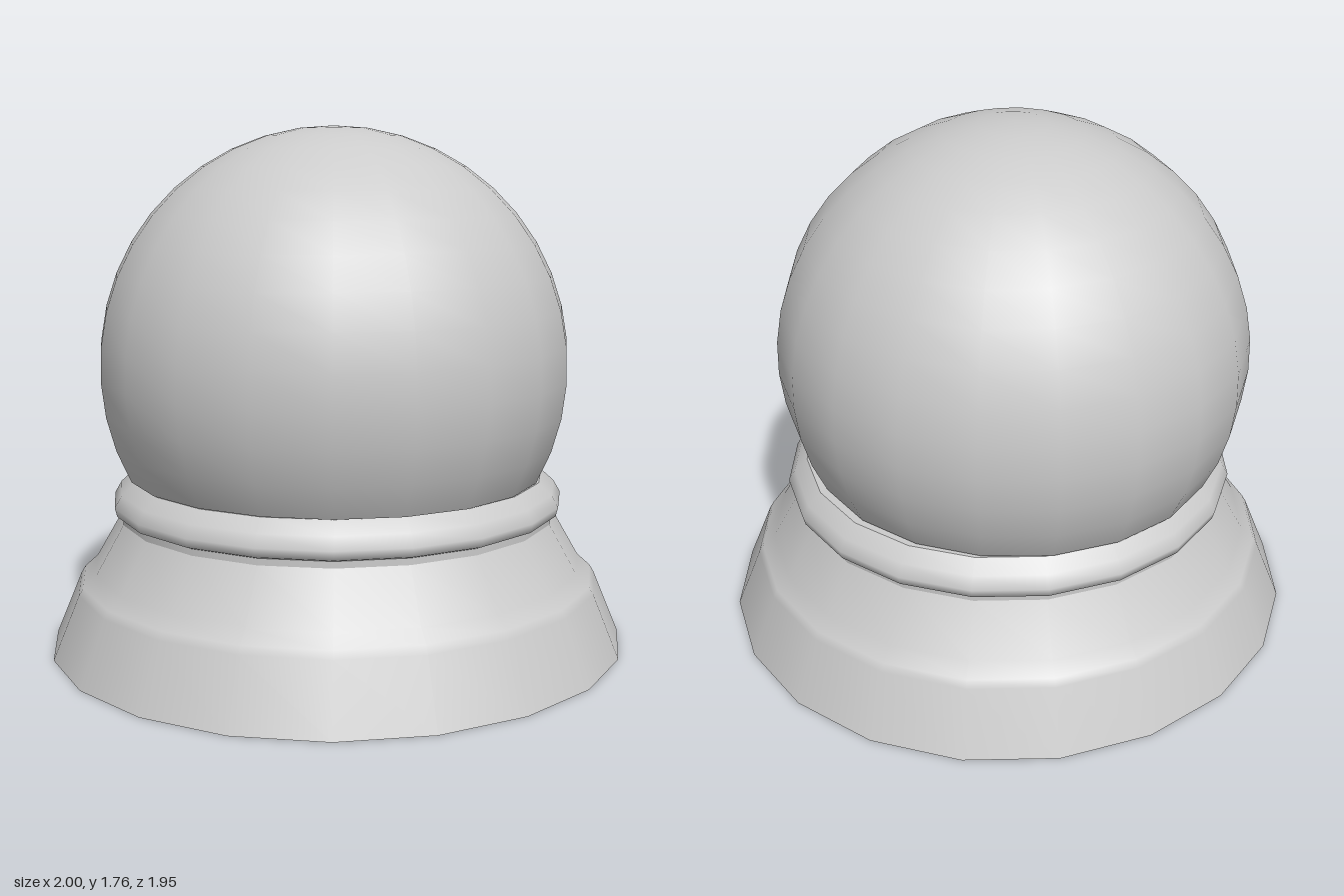
import * as THREE from 'three';

const SIDES = 20;
const GLOBE_R = 0.8, GLOBE_Y = 0.965, CUT = 2.06;

export function createModel() {
  const model = new THREE.Group();
  const material = new THREE.MeshStandardMaterial({ color: 0xcccccc });

  const add = (name, geometry, parent = model) => {
    const mesh = new THREE.Mesh(geometry, material);
    mesh.name = name;
    parent.add(mesh);
    return mesh;
  };
  // Revolve a profile of [radius, height]; upward paths face out, downward paths face in.
  const ring = (name, profile, parent) =>
    add(name, new THREE.LatheGeometry(profile.map(([r, y]) => new THREE.Vector2(r, y)), SIDES), parent);

  // Hollow stand, very slightly narrower front to back
  const stand = new THREE.Group();
  stand.name = 'stand';
  stand.scale.z = 0.977;
  model.add(stand);

  ring('skirt', [[1, 0], [0.91, 0.215], [0.895, 0.24], [0.85, 0.28], [0.755, 0.445]], stand);
  ring('neck', [[0.755, 0.445], [0.755, 0.467]], stand);
  ring('collar', [[0.755, 0.467], [0.775, 0.475], [0.783, 0.505], [0.76, 0.545], [0.715, 0.585]], stand);
  ring('collarTop', [[0.715, 0.585], [0.66, 0.585]], stand);
  ring('innerCollar', [[0.66, 0.585], [0.73, 0.525], [0.735, 0.495], [0.71, 0.467]], stand);
  ring('innerNeck', [[0.71, 0.467], [0.71, 0.44]], stand);
  ring('innerSkirt', [[0.71, 0.44], [0.805, 0.265], [0.855, 0.22], [0.87, 0.195], [0.955, 0]], stand);
  ring('footRim', [[0.955, 0], [1, 0]], stand);

  // Globe, cut flat where it sits in the collar
  const globe = new THREE.Group();
  globe.name = 'globe';
  globe.position.set(-0.017, GLOBE_Y, 0);
  globe.scale.z = 1.008;
  model.add(globe);

  add('dome', new THREE.SphereGeometry(GLOBE_R, SIDES, 14, 0, Math.PI * 2, 0, CUT), globe);
  const floor = add('globeFloor', new THREE.CircleGeometry(GLOBE_R * Math.sin(CUT), SIDES), globe);
  floor.rotation.x = Math.PI / 2;
  floor.position.y = GLOBE_R * Math.cos(CUT);

  return model;
}
